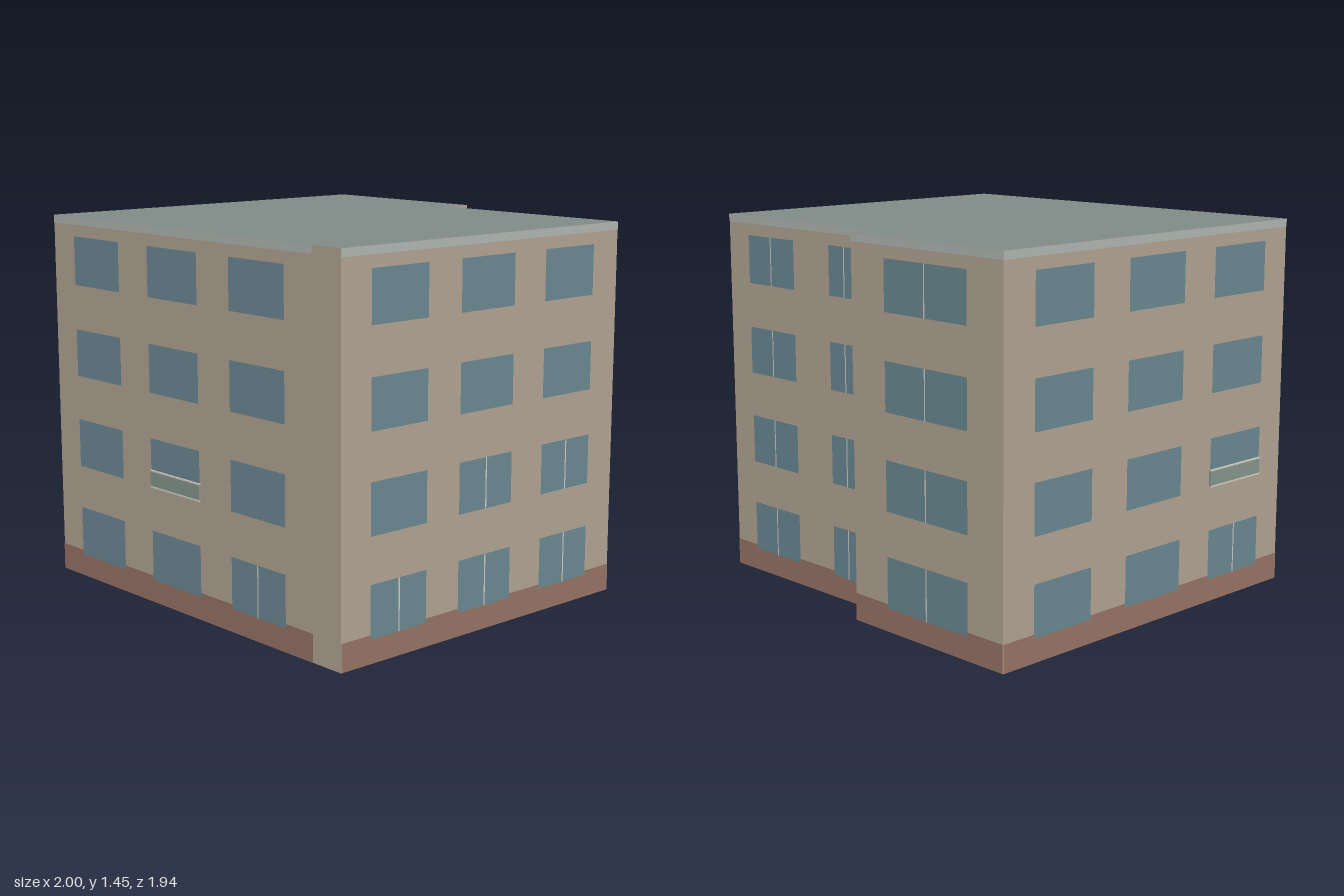
import * as THREE from 'three';

const HEIGHT = 1.445;
const ROWS = [[0.09, 0.285], [0.455, 0.645], [0.82, 1.005], [1.18, 1.37]];

// Footprint corners [x, z], counter-clockwise seen from above
const CORNERS = [
  [-1.0, 0.515], [0.605, 0.965], [1.0, -0.38],
  [0.145, -0.63], [0.17, -0.745], [-0.58, -0.97],
];

// One entry per wall. Columns are fractions of the wall length; split lists
// [column, row] of the two-leaf windows; balcony is a [column, row].
const ALL = [0, 1, 2, 3];
const FACADES = [
  { name: 'front', columns: [[0.084, 0.259], [0.368, 0.545], [0.654, 0.832]],
    split: [[2, 0]], balcony: [1, 1], bandEnd: 0.916 },
  { name: 'left', columns: [[0.095, 0.285], [0.4, 0.593], [0.71, 0.9]],
    split: [[0, 0], [1, 0], [2, 0], [1, 1], [2, 1]], bandEnd: 1 },
  { name: 'backLeft', columns: [[0.145, 0.465], [0.705, 0.91]],
    split: ALL.flatMap((r) => [[0, r], [1, r]]), bandEnd: 1 },
  { name: 'step', columns: [], split: [], bandEnd: 0 },
  { name: 'backRight', columns: [[0.235, 0.78]], split: ALL.map((r) => [0, r]), bandEnd: 1 },
  { name: 'right', columns: [[0.095, 0.283], [0.404, 0.602], [0.715, 0.912]],
    split: [[2, 0]], balcony: [2, 1], bandEnd: 1 },
];

const paint = (color, side = THREE.FrontSide) => new THREE.MeshStandardMaterial({ color, side });

export function createModel() {
  const model = new THREE.Group();
  model.name = 'apartmentBlock';
  const mats = {
    wall: paint(0xb3a595, THREE.DoubleSide),
    roof: paint(0x808b87, THREE.DoubleSide),
    glass: paint(0x6c8a94),
    plinth: paint(0x987466),
    trim: paint(0xb2b8b4),
    frame: paint(0xd2cec4),
    railing: paint(0x87978f),
  };

  // Flat roof
  const outline = new THREE.Shape(CORNERS.map(([x, z]) => new THREE.Vector2(x, -z)));
  const roof = new THREE.Mesh(new THREE.ShapeGeometry(outline).rotateX(-Math.PI / 2), mats.roof);
  roof.name = 'roof';
  roof.position.y = HEIGHT;
  model.add(roof);

  FACADES.forEach((spec, i) => {
    const [px, pz] = CORNERS[i];
    const [qx, qz] = CORNERS[(i + 1) % CORNERS.length];
    const length = Math.hypot(qx - px, qz - pz);

    // Local frame: x along the wall, y up, z outward
    const facade = new THREE.Group();
    facade.name = `${spec.name}Facade`;
    facade.position.set(px, 0, pz);
    facade.rotation.y = -Math.atan2(qz - pz, qx - px);
    model.add(facade);

    const place = (name, geometry, material, x, y, z) => {
      const mesh = new THREE.Mesh(geometry, material);
      mesh.name = name;
      mesh.position.set(x, y, z);
      facade.add(mesh);
    };
    const panel = (name, material, x0, x1, y0, y1, z) => place(
      name, new THREE.PlaneGeometry(x1 - x0, y1 - y0), material, (x0 + x1) / 2, (y0 + y1) / 2, z);

    panel('wall', mats.wall, 0, length, 0, HEIGHT, 0);

    // Plinth and roof-edge bands
    if (spec.bandEnd > 0) {
      panel('plinth', mats.plinth, 0, length * spec.bandEnd, 0, 0.105, 0.002);
      panel('roofTrim', mats.trim, 0, length * spec.bandEnd, 1.415, HEIGHT, 0.002);
    }

    // Window grid
    spec.columns.forEach(([t0, t1]) => ROWS.forEach(([y0, y1]) =>
      panel('window', mats.glass, t0 * length, t1 * length, y0, y1, 0.004)));

    // Centre bars of two-leaf windows
    spec.split.forEach(([c, r]) => {
      const middle = (spec.columns[c][0] + spec.columns[c][1]) / 2 * length;
      panel('windowBar', mats.frame, middle - 0.003, middle + 0.003, ...ROWS[r], 0.006);
    });

    // Shallow balcony: panel between two slim rails
    if (spec.balcony) {
      const [t0, t1] = spec.columns[spec.balcony[0]];
      const width = (t1 - t0) * length;
      const x = (t0 + t1) / 2 * length;
      const y = ROWS[spec.balcony[1]][0];
      place('balconyPanel', new THREE.BoxGeometry(width, 0.06, 0.008), mats.railing, x, y + 0.035, 0.004);
      for (const dy of [0.003, 0.066]) {
        place('balconyRail', new THREE.BoxGeometry(width, 0.006, 0.01), mats.frame, x, y + dy, 0.005);
      }
    }
  });

  return model;
}
